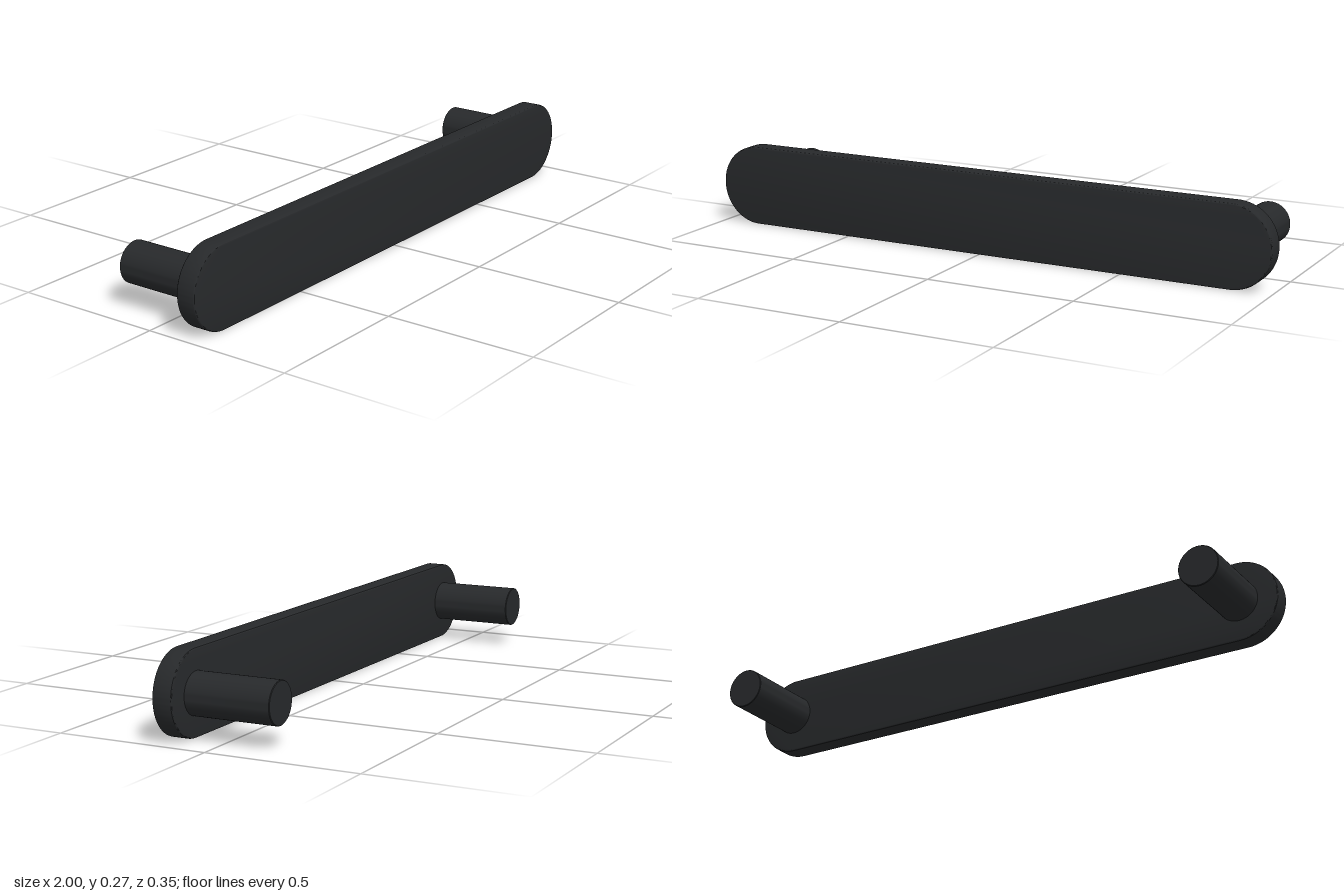
import * as THREE from 'three';
import { toCreasedNormals } from 'three/addons/utils/BufferGeometryUtils.js';

const R = 0.135;          // half height of the bar, radius of its round ends
const CX = 1 - R;         // centre of the round ends and of the posts
const BACK = -0.175, BAR_BACK = 0.108, FRONT = 0.175;
const BEVEL = 0.006;

// Stadium-shaped plate with softly rounded edges
function barGeometry() {
  const shape = new THREE.Shape();
  shape.absarc(CX, 0, R, -Math.PI / 2, Math.PI / 2, false);
  shape.absarc(-CX, 0, R, Math.PI / 2, Math.PI * 1.5, false);
  shape.closePath();
  const geometry = new THREE.ExtrudeGeometry(shape, {
    depth: FRONT - BAR_BACK - 2 * BEVEL,
    bevelSize: BEVEL, bevelThickness: BEVEL, bevelOffset: -BEVEL,
    bevelSegments: 3, curveSegments: 32,
  });
  geometry.translate(0, 0, BAR_BACK + BEVEL);
  return toCreasedNormals(geometry, 0.4);
}

// Round post running from the wall end into the back of the bar
function postGeometry() {
  const r = 0.0675, b = 0.002, length = BAR_BACK + 0.01 - BACK;
  const profile = [[0, 0], [r - b, 0], [r, b], [r, length], [0, length]]
    .map(([x, y]) => new THREE.Vector2(x, y));
  const geometry = new THREE.LatheGeometry(profile, 48);
  geometry.rotateX(Math.PI / 2);
  geometry.translate(0, 0, BACK);
  return toCreasedNormals(geometry, 0.4);
}

export function createModel() {
  const model = new THREE.Group();
  model.name = 'pullHandle';
  const material = new THREE.MeshStandardMaterial({ color: 0x27292b });

  const bar = new THREE.Mesh(barGeometry(), material);
  bar.name = 'gripBar';
  bar.position.y = R;
  model.add(bar);

  const geometry = postGeometry();
  for (const side of [-1, 1]) {
    const post = new THREE.Mesh(geometry, material);
    post.name = side > 0 ? 'leftPost' : 'rightPost';
    post.position.set(side * CX, R, 0);
    model.add(post);
  }
  return model;
}
